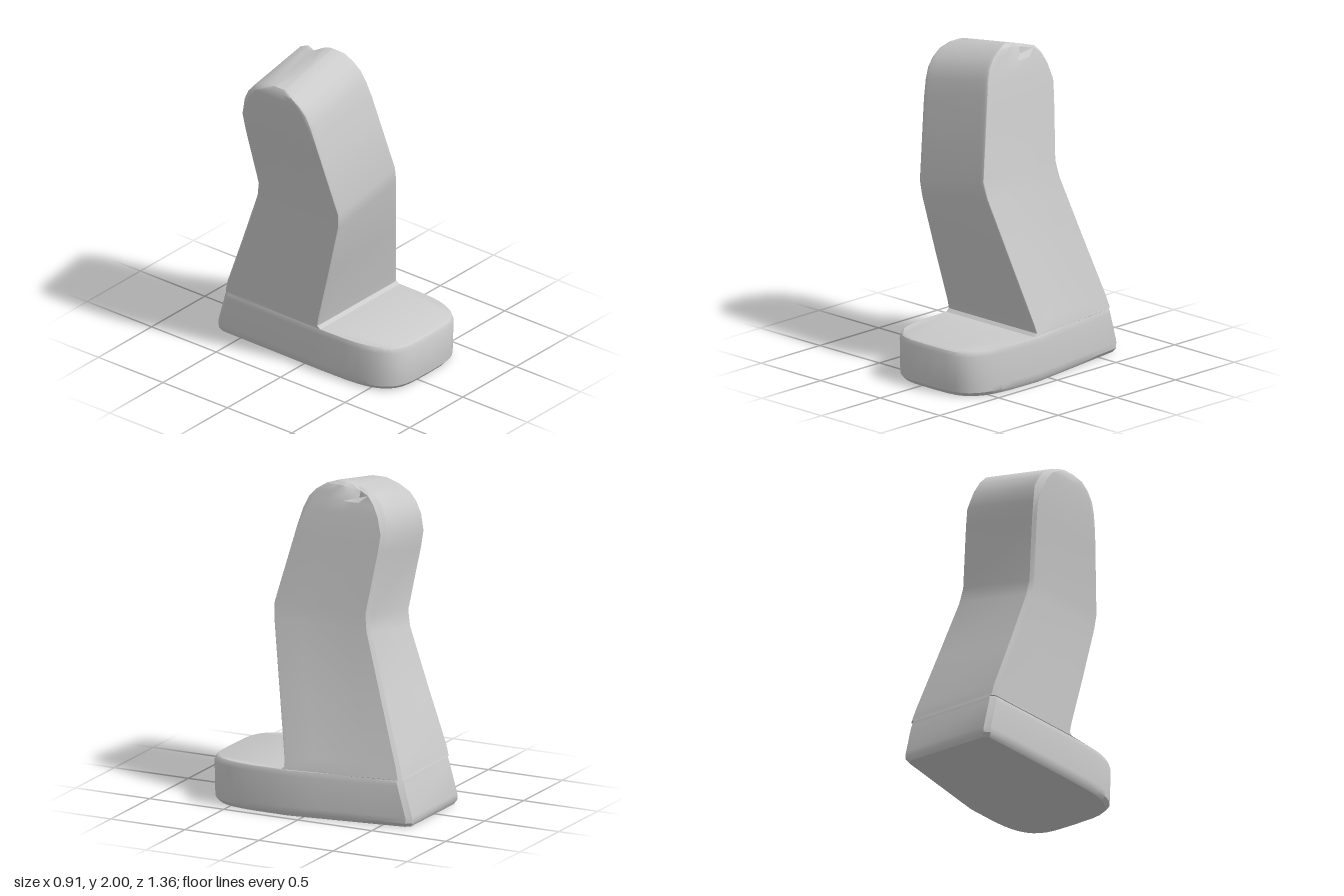
import * as THREE from 'three';
import { toCreasedNormals } from 'three/addons/utils/BufferGeometryUtils.js';

const { lerp, clamp } = THREE.MathUtils;
const SIDE = 4, ARC = 20, KNEE = 1.2, ANKLE = 0.287;

// Foot levels: [y, back z, front z, edge inset]
const FOOT = [
  [0, -0.665, 0.65, 0.02],
  [0.025, -0.68, 0.672, 0.002],
  [0.06, -0.68, 0.675, 0],
  [0.25, -0.627, 0.68, 0],
  [0.275, -0.62, 0.668, 0.003],
  [0.285, -0.618, 0.65, 0.006],
];

// Leg levels: [y, back z, front z, edge inset], from the step up to the rounded top
const LEG = [
  [ANKLE, -0.617, 0.14, 0],
  [0.305, -0.612, 0.12, 0],
  [0.36, -0.597, 0.13, 0],
  [0.75, -0.465, 0.22, 0],
  [1.14, -0.332, 0.31, 0],
  [1.24, -0.315, 0.32, 0],
  [1.62, -0.368, 0.23, 0],
  [1.72, -0.377, 0.206, 0],
  [1.82, -0.362, 0.18, 0.003],
  [1.89, -0.325, 0.15, 0.006],
  [1.94, -0.28, 0.105, 0.01],
  [1.98, -0.205, 0.045, 0.015],
  [2, -0.13, -0.02, 0.035],
];

// The foot is straight-sided with a broad rounded toe
const footSection = ([y, zB, zF, inset]) => ({
  y, zB, zF, zS: 0.1, square: 4, bevel: 0.03, taper: 0.105,
  left: -0.298 + inset, right: 0.46 - inset,
});

// The leg narrows to the knee, then leans towards -x
function legSection([y, zB, zF, inset]) {
  const low = clamp((y - ANKLE) / (KNEE - ANKLE), 0, 1);
  const high = clamp((y - KNEE) / (2 - KNEE), 0, 1);
  const bevel = y < 1.8 || y === 2 ? 0.02 : 0.035;
  return {
    y, zB, zF, zS: zF - bevel, square: 14, bevel, taper: 0.1 * (1 - low),
    left: lerp(-0.296, -0.336, low) - 0.13 * high + inset,
    right: lerp(0.452, 0.2, low) - 0.132 * high - inset,
  };
}

// One closed outline: +x side, front curve, -x side, back
function ring({ y, zB, zF, zS, square, bevel, taper, left, right }) {
  const z0 = zB + bevel;
  const backRight = right - taper, backLeft = left + taper * 0.08;
  const sidePoints = (xBack, xFront) => Array.from({ length: SIDE }, (_, i) =>
    [lerp(xBack, xFront, i / SIDE), lerp(z0, zS, i / SIDE)]);
  const front = Array.from({ length: ARC + 1 }, (_, i) => {
    const a = Math.PI * i / ARC, c = Math.cos(a);
    const w = Math.sign(c) * Math.abs(c) ** (2 / square);
    const d = i % ARC ? Math.sin(a) ** (2 / square) : 0;
    return [lerp(left, right, (w + 1) / 2), lerp(zS, zF, d)];
  });
  const plan = [
    [backRight - bevel, zB], ...sidePoints(backRight, right),
    ...front,
    ...sidePoints(backLeft, left).reverse(), [backLeft + bevel, zB],
  ];

  // the levels tilt sideways as the leg leans
  const tilt = 0.19 * clamp((y - 0.36) / 0.84, 0, 1);
  return plan.map(([x, z]) => {
    // small dent in the +x edge of the top
    const dent = y > 1.9 && x > 0 ? Math.exp(-(((z + 0.16) / 0.06) ** 2)) : 0;
    return [x - 0.045 * dent, y + tilt * (x - right) - 0.035 * dent, z];
  });
}

// Skins the outlines and closes both ends
function loft(rings) {
  const n = rings[0].length, last = (rings.length - 1) * n;
  const points = rings.flat(), index = [];
  const centre = r => [0, 1, 2].map(k => r.reduce((s, p) => s + p[k], 0) / n);
  const bottom = points.push(centre(rings[0])) - 1;
  const top = points.push(centre(rings[rings.length - 1])) - 1;
  for (let j = 0; j < n; j++) {
    const k = (j + 1) % n;
    for (let i = 0; i < last; i += n) {
      index.push(i + j, i + n + j, i + k, i + k, i + n + j, i + n + k);
    }
    index.push(bottom, j, k, top, last + k, last + j);
  }
  const g = new THREE.BufferGeometry();
  g.setAttribute('position', new THREE.Float32BufferAttribute(points.flat(), 3));
  g.setIndex(index);
  return toCreasedNormals(g, 0.6);
}

export function createModel() {
  const group = new THREE.Group();
  group.name = 'leg';
  const sections = [...FOOT.map(footSection), ...LEG.map(legSection)];
  const mesh = new THREE.Mesh(
    loft(sections.map(ring)),
    new THREE.MeshStandardMaterial({ color: 0xcccccc })
  );
  mesh.name = 'legAndFoot';
  group.add(mesh);
  return group;
}
